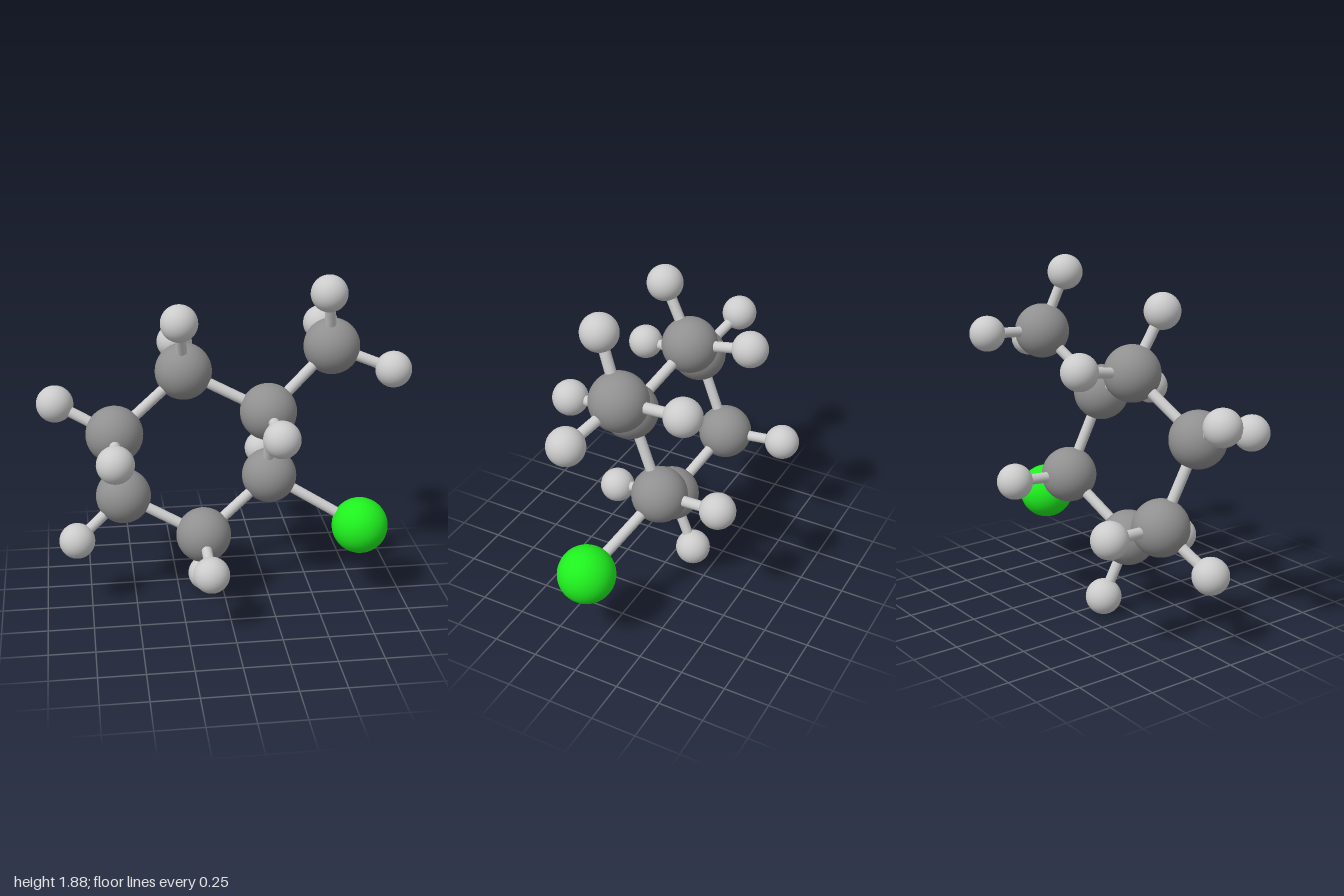
import * as THREE from 'three';

const BOND_RADIUS = 0.029;
const UP = new THREE.Vector3(0, 1, 0);

// Atom kinds: radius and color
const KINDS = {
  carbon: { radius: 0.152, color: 0x909090 },
  hydrogen: { radius: 0.098, color: 0xc0c0c0 },
  chlorine: { radius: 0.156, color: 0x1ff01f },
};

// Six-membered ring, in order, then the side-chain carbon; each with its hydrogens
const CARBONS = [
  { at: [0.22, 1.16, 0.09], hydrogens: [[0.235, 1.14, 0.447]] },
  { at: [0.26, 0.707, -0.105], hydrogens: [[0.27, 0.728, -0.455]] },
  { at: [-0.123, 0.42, 0.02], hydrogens: [[-0.12, 0.356, 0.38], [-0.098, 0.102, -0.13]] },
  { at: [-0.555, 0.627, -0.1], hydrogens: [[-0.82, 0.421, 0.013], [-0.585, 0.645, -0.447]] },
  { at: [-0.6, 1.073, 0.1], hydrogens: [[-0.904, 1.22, -0.005], [-0.612, 1.05, 0.457]] },
  { at: [-0.22, 1.364, -0.032], hydrogens: [[-0.254, 1.678, 0.137], [-0.237, 1.42, -0.378]] },
  { at: [0.583, 1.464, -0.058], hydrogens: [[0.535, 1.79, 0.07], [0.9, 1.356, 0.053], [0.59, 1.487, -0.412]] },
];
const CHLORINE = [0.748, 0.448, 0.065];

export function createModel() {
  const model = new THREE.Group();
  model.name = 'molecule';
  const bondMaterial = new THREE.MeshStandardMaterial({ color: 0xcccccc });

  // Shared geometry and material per atom kind
  const parts = {};
  for (const [kind, { radius, color }] of Object.entries(KINDS)) {
    parts[kind] = {
      geometry: new THREE.SphereGeometry(radius, 40, 28),
      material: new THREE.MeshStandardMaterial({ color }),
    };
  }

  function addAtom(kind, at, name) {
    const atom = new THREE.Mesh(parts[kind].geometry, parts[kind].material);
    atom.name = name;
    atom.position.set(...at);
    model.add(atom);
  }

  // Rod running between two atom centres
  function addBond(from, to, name) {
    const a = new THREE.Vector3(...from);
    const span = new THREE.Vector3(...to).sub(a);
    const rod = new THREE.CylinderGeometry(BOND_RADIUS, BOND_RADIUS, span.length(), 20, 1);
    const bond = new THREE.Mesh(rod, bondMaterial);
    bond.name = name;
    bond.position.copy(a).addScaledVector(span, 0.5);
    bond.quaternion.setFromUnitVectors(UP, span.normalize());
    model.add(bond);
  }

  // Carbons with their hydrogens
  CARBONS.forEach(({ at, hydrogens }, i) => {
    addAtom('carbon', at, `carbon${i + 1}`);
    hydrogens.forEach((h, j) => {
      addAtom('hydrogen', h, `hydrogen${i + 1}_${j + 1}`);
      addBond(at, h, `hydrogenBond${i + 1}_${j + 1}`);
    });
  });

  // Ring bonds
  for (let i = 0; i < 6; i++) {
    addBond(CARBONS[i].at, CARBONS[(i + 1) % 6].at, `ringBond${i + 1}`);
  }

  // Side chain and chlorine
  addBond(CARBONS[0].at, CARBONS[6].at, 'sideChainBond');
  addAtom('chlorine', CHLORINE, 'chlorine');
  addBond(CARBONS[1].at, CHLORINE, 'chlorineBond');

  return model;
}
